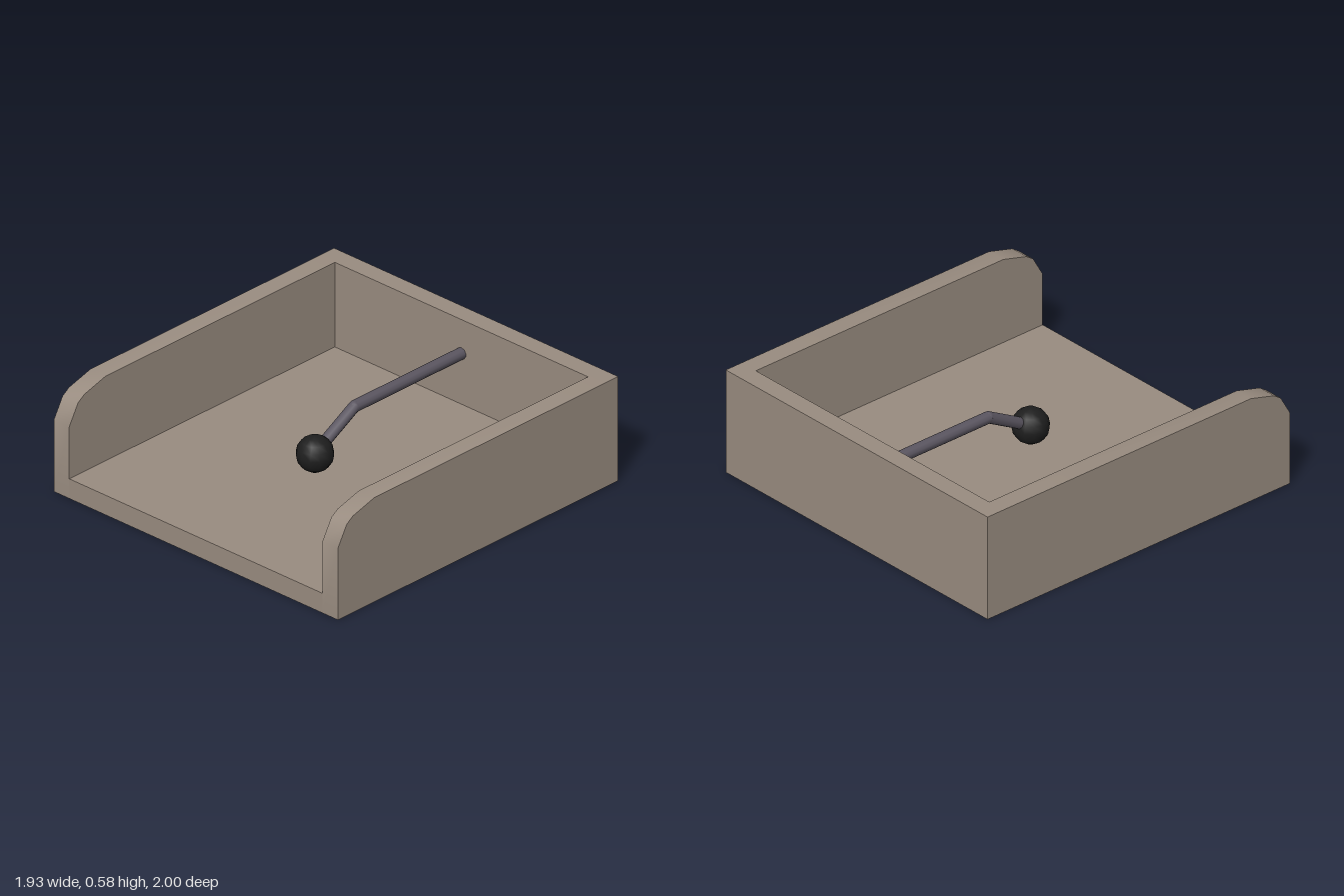
import * as THREE from 'three';
import { toCreasedNormals } from 'three/addons/utils/BufferGeometryUtils.js';

export function createModel() {
  const group = new THREE.Group();
  const trayMat = new THREE.MeshStandardMaterial({ color: 0x998c80 });
  trayMat.name = 'taupe';
  const rodMat = new THREE.MeshStandardMaterial({ color: 0x5b5661 });
  rodMat.name = 'dark metal';
  const knobMat = new THREE.MeshStandardMaterial({ color: 0x1e1e1e });
  knobMat.name = 'black';

  const W = 0.967, H = 0.583, T = 0.105, FLOOR = 0.11;

  const add = (name, geometry, material, x = 0, y = 0, z = 0) => {
    const mesh = new THREE.Mesh(geometry, material);
    mesh.name = name;
    mesh.position.set(x, y, z);
    group.add(mesh);
    return mesh;
  };

  // Floor and back wall fit between the side walls
  const inner = 2 * (W - T);
  add('floor', new THREE.BoxGeometry(inner, FLOOR, 2), trayMat, 0, FLOOR / 2, 0);
  add('backWall', new THREE.BoxGeometry(inner, H - FLOOR, T), trayMat, 0, (H + FLOOR) / 2, -1 + T / 2);

  // Side walls: profile in (z, y) with a rounded front top corner
  const profile = new THREE.Shape([
    [-1, 0], [1, 0], [1, 0.4], [0.937, 0.51], [0.893, 0.54], [0.74, H], [-1, H],
  ].map(([z, y]) => new THREE.Vector2(-z, y)).reverse());
  const wall = new THREE.ExtrudeGeometry(profile, { depth: T, bevelEnabled: false });
  wall.rotateY(Math.PI / 2); // shape x becomes -z, depth becomes +x
  const wallGeo = toCreasedNormals(wall, 0.62);
  add('leftWall', wallGeo, trayMat, W - T);
  add('rightWall', wallGeo, trayMat, -W);

  // Bent lever rod
  const R = 0.031;
  const root = new THREE.Vector3(0, 0.395, -0.9);
  const bend = new THREE.Vector3(0, 0.395, -0.13);
  const knob = new THREE.Vector3(0, 0.242, 0.15);
  const up = new THREE.Vector3(0, 1, 0);
  const rod = (name, a, b) => {
    const dir = b.clone().sub(a);
    const mid = a.clone().add(b).multiplyScalar(0.5);
    const mesh = add(name, new THREE.CylinderGeometry(R, R, dir.length(), 10), rodMat, mid.x, mid.y, mid.z);
    mesh.quaternion.setFromUnitVectors(up, dir.normalize());
  };
  rod('leverRod', root, bend);
  rod('leverBentEnd', bend, knob);
  add('leverElbow', new THREE.SphereGeometry(R, 10, 8), rodMat, bend.x, bend.y, bend.z);

  // Knob
  add('leverKnob', new THREE.SphereGeometry(0.097, 12, 8), knobMat, knob.x, knob.y, knob.z);

  return group;
}
